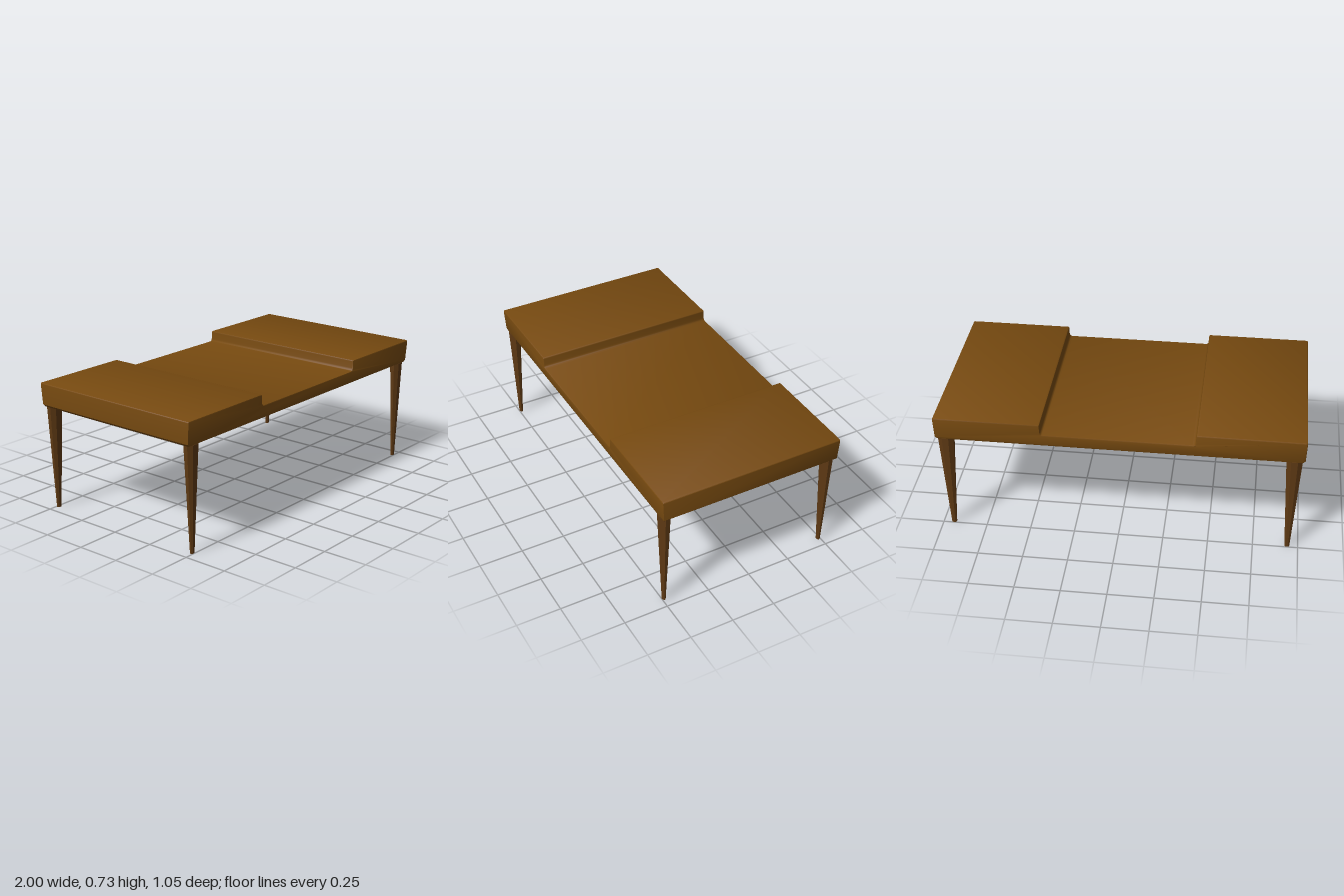
import * as THREE from 'three';
import { toCreasedNormals } from 'three/addons/utils/BufferGeometryUtils.js';

export function createModel() {
  const group = new THREE.Group();
  group.name = 'coffeeTable';
  const topWood = new THREE.MeshStandardMaterial({ color: 0x774a10 });
  topWood.name = 'warm brown wood';
  const legWood = new THREE.MeshStandardMaterial({ color: 0x5f3a14 });
  legWood.name = 'dark brown wood';

  const add = (name, geometry, material) => {
    const mesh = new THREE.Mesh(geometry, material);
    mesh.name = name;
    group.add(mesh);
    return mesh;
  };

  // Table top: a stepped profile with a sunken middle, swept from back to front
  const s = new THREE.Shape();
  s.moveTo(-0.985, 0.59);
  s.lineTo(0.985, 0.59);
  s.lineTo(0.997, 0.603);
  s.lineTo(1, 0.717);
  s.quadraticCurveTo(1, 0.725, 0.99, 0.725);
  s.lineTo(0.427, 0.725);
  s.quadraticCurveTo(0.419, 0.725, 0.419, 0.717);
  s.lineTo(0.417, 0.68);
  s.quadraticCurveTo(0.415, 0.663, 0.4, 0.663);
  s.lineTo(-0.4, 0.663);
  s.quadraticCurveTo(-0.415, 0.663, -0.417, 0.68);
  s.lineTo(-0.419, 0.717);
  s.quadraticCurveTo(-0.419, 0.725, -0.427, 0.725);
  s.lineTo(-0.99, 0.725);
  s.quadraticCurveTo(-1, 0.725, -1, 0.717);
  s.lineTo(-0.997, 0.603);
  const bevel = 0.006, halfDepth = 0.527;
  const top = new THREE.ExtrudeGeometry(s, {
    depth: 2 * (halfDepth - bevel), curveSegments: 4,
    bevelSize: bevel, bevelOffset: -bevel, bevelThickness: bevel, bevelSegments: 2,
  });
  top.translate(0, 0, bevel - halfDepth);

  // The front and back edges draw in slightly towards the underside
  const p = top.attributes.position;
  for (let i = 0; i < p.count; i++) {
    const low = THREE.MathUtils.clamp((0.66 - p.getY(i)) / 0.07, 0, 1);
    p.setZ(i, p.getZ(i) * (1 - 0.018 * low));
  }
  add('tableTop', toCreasedNormals(top, 0.6), topWood);

  // Underside: a very shallow raised panel with sloping margins
  const under = new THREE.BoxGeometry(1.96, 0.012, 1.02);
  const u = under.attributes.position;
  for (let i = 0; i < u.count; i++) {
    if (u.getY(i) < 0) u.setXYZ(i, u.getX(i) * 0.714, u.getY(i), u.getZ(i) * 0.92);
  }
  under.computeVertexNormals();
  under.translate(0, 0.589, 0);
  add('underside', under, topWood);

  // Four tapered eight-sided legs, narrower from front to back
  const leg = new THREE.CylinderGeometry(0.047, 0.0145, 0.592, 8).toNonIndexed();
  leg.rotateY(Math.PI / 8);
  leg.scale(1, 1, 0.69);
  leg.computeVertexNormals();
  leg.translate(0, 0.296, 0);
  for (const [side, x] of [['Left', 0.94], ['Right', -0.94]]) {
    for (const [end, z] of [['front', 0.489], ['back', -0.489]]) {
      add(`${end}${side}Leg`, leg, legWood).position.set(x, 0, z);
    }
  }
  return group;
}
